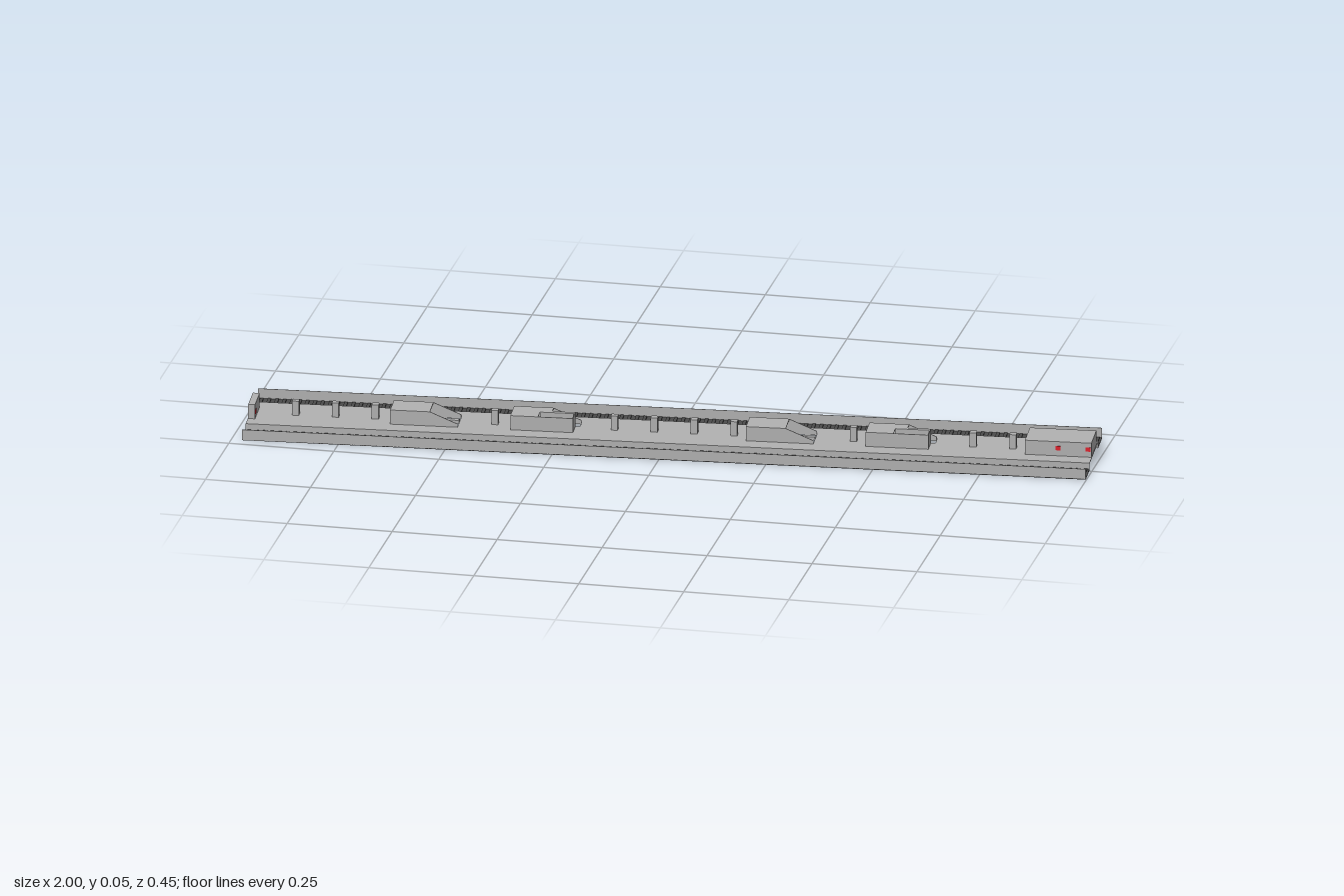
import * as THREE from 'three';

const concrete = new THREE.MeshStandardMaterial({ color: 0xb2b2b2 });
concrete.name = 'concrete grey';
const trackDark = new THREE.MeshStandardMaterial({ color: 0x4c4c4c });
trackDark.name = 'track bed dark grey';
const red = new THREE.MeshStandardMaterial({ color: 0xe0202c });
red.name = 'sign red';

const HALF = 0.99, WIDE = 0.141, EDGE = 0.075; // half length, half width, half platform
const FLOOR = 0.017, ROOF = 0.052, WALL = 0.026, T = 0.002;

function add(parent, name, geometry, material, x = 0, y = 0, z = 0) {
  const mesh = new THREE.Mesh(geometry, material);
  mesh.name = name;
  mesh.position.set(x, y, z);
  parent.add(mesh);
  return mesh;
}

// box given by its limits
function block(parent, name, material, x0, x1, y0, y1, z0, z1) {
  return add(parent, name, new THREE.BoxGeometry(x1 - x0, y1 - y0, z1 - z0), material,
    (x0 + x1) / 2, (y0 + y1) / 2, (z0 + z1) / 2);
}

const polygon = (pts) => new THREE.Shape(pts.map(([x, y]) => new THREE.Vector2(x, y)));
const extrude = (shape, depth) => new THREE.ExtrudeGeometry(shape, { depth, bevelEnabled: false });

// horizontal slab with its top at y; outline is in x, z
function slab(parent, name, shape, y) {
  return add(parent, name, extrude(shape, T).rotateX(Math.PI / 2), concrete, 0, y, 0);
}

// stair shelter, starting at local x = 0 and running towards +x
function stairShelter(offsetOpening) {
  const g = new THREE.Group();
  g.name = 'stairShelter';
  const L = 0.158, W = 0.033, roofEnd = 0.093;
  const sloped = polygon([[0, FLOOR - T], [L, FLOOR - T], [L, 0.025], [roofEnd, ROOF], [0, ROOF]]);
  add(g, 'backSideWall', extrude(sloped, T), concrete, 0, 0, -W);
  block(g, 'endWall', concrete, 0, T, FLOOR - T, ROOF, -W, W);
  if (offsetOpening) {
    // the front half keeps full-height walls around an open well
    const wellStart = 0.065, wellEnd = 0.147;
    slab(g, 'roof', polygon([[0, -W], [roofEnd, -W], [roofEnd, -0.01], [wellEnd, -0.01],
      [wellEnd, 0], [wellStart, 0], [wellStart, W], [0, W]]), ROOF);
    block(g, 'frontSideWall', concrete, 0, wellEnd, FLOOR - T, ROOF, W - T, W);
    block(g, 'wellEndWall', concrete, wellEnd - T, wellEnd, FLOOR - T, ROOF, -0.01, W);
    block(g, 'wellBackWall', concrete, wellStart, wellEnd, FLOOR - T, ROOF, -T, 0);
    block(g, 'landing', concrete, wellEnd, L, FLOOR - T, FLOOR, -0.01, W);
  } else {
    slab(g, 'roof', polygon([[0, -W], [roofEnd, -W], [roofEnd, W], [0, W]]), ROOF);
    add(g, 'frontSideWall', extrude(sloped, T), concrete, 0, 0, W - T);
    block(g, 'divider', concrete, roofEnd, L, FLOOR - T, FLOOR + 0.006, -0.008, 0.003);
  }
  block(g, 'endSign', red, -0.001, 0, 0.03, 0.039, -0.028, -0.02);
  return g;
}

export function createModel() {
  const root = new THREE.Group();
  root.name = 'stationPlatform';
  const body = new THREE.Group();
  body.name = 'platformBody';
  body.rotation.y = 0.0835;
  root.add(body);

  // platform deck with stair wells, hollow underneath
  const shelters = [[-0.657, false], [-0.375, true], [0.178, false], [0.459, true]];
  const deck = polygon([[-HALF, -EDGE], [HALF, -EDGE], [HALF, EDGE], [-HALF, EDGE]]);
  for (const [x, offset] of shelters) {
    deck.holes.push(new THREE.Path([[0, -0.033], [0, 0.033], [0.158, 0.033], [0.158, -0.033]]
      .map(([u, v]) => new THREE.Vector2(x + u, v))));
    const s = stairShelter(offset);
    s.position.x = x;
    body.add(s);
  }
  slab(body, 'platformDeck', deck, FLOOR);

  // platform sides, track beds, sleepers and outer walls
  const count = 110;
  for (const side of [-1, 1]) {
    const mid = side * (EDGE + WIDE) / 2, w = WIDE - EDGE;
    add(body, 'platformSide', new THREE.BoxGeometry(2 * HALF, FLOOR, T), concrete, 0, FLOOR / 2, side * (EDGE - T / 2));
    add(body, 'trackBed', new THREE.BoxGeometry(2 * HALF, T, w), trackDark, 0, T / 2, mid);
    add(body, 'outerWall', new THREE.BoxGeometry(2 * HALF, WALL, 0.001), concrete, 0, WALL / 2, side * (WIDE - 0.0005));
    const sleepers = new THREE.InstancedMesh(new THREE.BoxGeometry(0.008, 0.002, w - 0.006), trackDark, count);
    sleepers.name = 'sleepers';
    for (let i = 0; i < count; i++) {
      const x = -HALF + (i + 0.5) * 2 * HALF / count;
      sleepers.setMatrixAt(i, new THREE.Matrix4().makeTranslation(x, T + 0.001, mid));
    }
    body.add(sleepers);
  }

  // single row of columns, skipping the stairs
  for (const k of [-10, -9, -8, -5, -2, -1, 0, 1, 4, 7, 8]) {
    const x = 0.052 + k * 0.0935;
    block(body, 'column', concrete, x - 0.008, x + 0.008, FLOOR, ROOF, -0.012, 0.004);
  }

  // service room at one end, with small red signs on both long sides
  block(body, 'serviceRoom', concrete, 0.833, 0.989, FLOOR, ROOF, -0.05, 0.036);
  for (const z of [-0.0505, 0.0365]) {
    for (const x of [0.911, 0.981]) {
      add(body, 'roomSign', new THREE.BoxGeometry(0.012, 0.01, 0.001), red, x, 0.036, z);
    }
  }

  // screen wall at the other end
  block(body, 'screenWall', concrete, -0.989, -0.973, FLOOR, ROOF, -0.04, 0.04);
  block(body, 'screenSign', red, -0.973, -0.972, 0.027, 0.037, 0.021, 0.036);
  return root;
}
